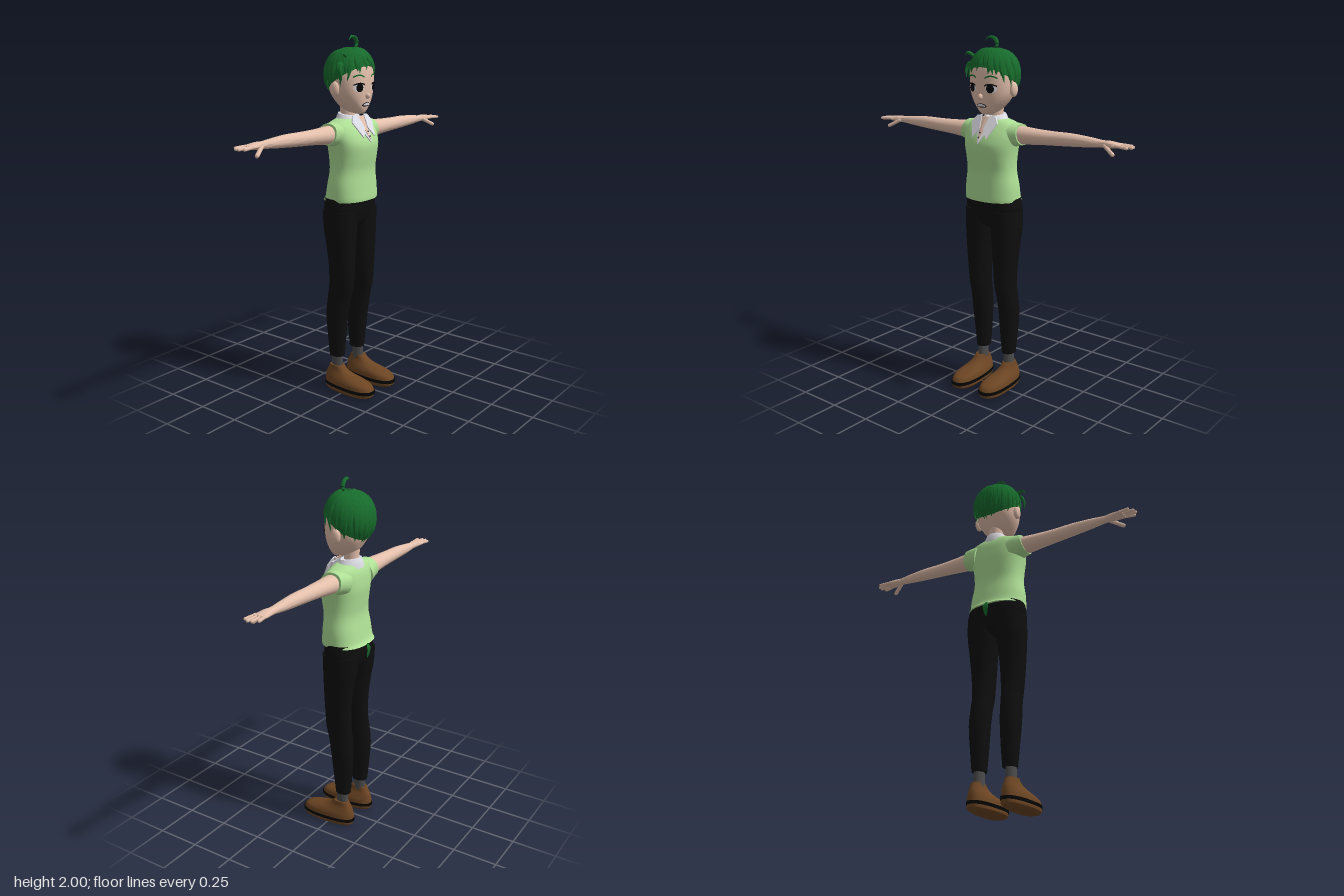
import * as THREE from 'three';
import { toCreasedNormals } from 'three/addons/utils/BufferGeometryUtils.js';

const V = (x, y, z) => new THREE.Vector3(x, y, z);
const material = (name, color, side = THREE.FrontSide) => {
  const m = new THREE.MeshStandardMaterial({ color, side });
  m.name = name;
  return m;
};

// Smooth in-between rows of a cross-section list
function refine(rows, steps = 4) {
  const out = [];
  const at = i => rows[Math.min(rows.length - 1, Math.max(0, i))];
  for (let i = 0; i < rows.length - 1; i++)
    for (let s = 0; s < steps; s++) {
      const t = s / steps, [a, b, c, d] = [at(i - 1), at(i), at(i + 1), at(i + 2)];
      out.push(b.map((v, k) => {
        const cubic = 3 * (v - c[k]) + d[k] - a[k];
        const square = 2 * a[k] - 5 * v + 4 * c[k] - d[k];
        return v + 0.5 * t * (c[k] - a[k] + t * (square + t * cubic));
      }));
    }
  out.push(rows[rows.length - 1]);
  return out;
}

// Closed skin over a list of point rings
function skinRings(rings, crease = 0.9) {
  const n = rings[0].length, pos = [], index = [];
  rings.forEach(r => r.forEach(p => pos.push(p.x, p.y, p.z)));
  for (let i = 0; i < rings.length - 1; i++)
    for (let j = 0; j < n; j++) {
      const a = i * n + j, b = i * n + (j + 1) % n;
      index.push(a, a + n, b + n, a, b + n, b);
    }
  const g = new THREE.BufferGeometry();
  g.setAttribute('position', new THREE.Float32BufferAttribute(pos, 3));
  g.setIndex(index);
  return toCreasedNormals(g, crease);
}

// Rows are [y, centre x, half width, front z, back z]; n sets how square the section is
function loft(rows, n = 2, segs = 28) {
  const pow = v => Math.sign(v) * Math.abs(v) ** (2 / n);
  const rings = refine(rows).map(([y, cx, w, f, b]) => Array.from({ length: segs }, (_, j) => {
    const a = j / segs * Math.PI * 2;
    return V(cx + w * pow(Math.cos(a)), y, (f + b) / 2 + (f - b) / 2 * pow(Math.sin(a)));
  }));
  const cap = r => {
    const c = r.reduce((s, p) => s.add(p), V(0, 0, 0)).divideScalar(segs);
    return r.map(() => c.clone());
  };
  return skinRings([cap(rings[0]), ...rings, cap(rings[rings.length - 1])]);
}

// Tapered lock of hair, lying flat around a centre
function lock(points, width, thick, centre) {
  const curve = new THREE.CatmullRomCurve3(points), rings = [];
  for (let i = 0; i <= 10; i++) {
    const t = i / 10, p = curve.getPoint(t), T = curve.getTangent(t);
    const S = T.clone().cross(p.clone().sub(centre)).normalize(), O = S.clone().cross(T);
    const f = Math.min(1, 0.35 + 2 * t) * (1 - t ** 3);
    rings.push(Array.from({ length: 6 }, (_, j) => {
      const a = j / 6 * Math.PI * 2;
      return p.clone().addScaledVector(S, width * f * Math.cos(a)).addScaledVector(O, thick * f * Math.sin(a));
    }));
  }
  return skinRings(rings, 0.6);
}

export function createModel() {
  const model = new THREE.Group();
  const skin = material('skin', 0xe3bfab), hair = material('hair green', 0x176b2c);
  const knit = material('knit green', 0xafe096), cloth = material('trouser black', 0x0e0e0e);
  const leather = material('shoe brown', 0x6c4523), sock = material('sock grey', 0x4c4c4c);
  const white = material('collar white', 0xe2e2ea), black = material('ink black', 0x050505, THREE.DoubleSide);
  const add = (name, geometry, mat) => {
    const m = new THREE.Mesh(geometry, mat);
    m.name = name;
    model.add(m);
    return m;
  };
  const ball = (name, mat, x, y, z, sx, sy, sz) =>
    add(name, new THREE.SphereGeometry(1, 16, 12).scale(sx, sy, sz).translate(x, y, z), mat);

  // Trousers
  add('pelvis', loft([[0.95, 0, 0.02, -0.01, -0.08], [0.985, 0, 0.1, 0.03, -0.13], [1.05, 0, 0.168, 0.05, -0.155], [1.13, 0, 0.163, 0.058, -0.155]], 2.4), cloth);

  for (const s of [1, -1]) {
    const side = s > 0 ? 'left' : 'right';
    add(side + 'TrouserLeg', loft([
      [0.2, 0.092, 0.037, -0.03, -0.118], [0.32, 0.093, 0.046, -0.018, -0.128], [0.45, 0.095, 0.053, -0.004, -0.135],
      [0.55, 0.092, 0.051, 0.015, -0.128], [0.62, 0.09, 0.052, 0.033, -0.119], [0.75, 0.091, 0.064, 0.038, -0.115],
      [0.88, 0.091, 0.075, 0.042, -0.13], [0.96, 0.088, 0.083, 0.045, -0.145], [1.06, 0.085, 0.084, 0.05, -0.153],
    ].map(([y, x, ...r]) => [y, s * x, ...r]), 2.2), cloth);
    add(side + 'Sock', loft([[0.1, s * 0.095, 0.027, -0.035, -0.105], [0.22, s * 0.095, 0.027, -0.035, -0.105]]), sock);

    // Shoe: sole, dark welt and upper, narrowing at the heel
    const shoe = (name, rows, mat) => {
      const g = loft(rows.map(([y, ...r]) => [y, 0, ...r]), 2.5), p = g.attributes.position;
      for (let i = 0; i < p.count; i++) p.setX(i, s * 0.1 + p.getX(i) * (0.88 + 0.7 * Math.min(0.18, p.getZ(i) + 0.05)));
      add(side + name, g, mat);
    };
    shoe('ShoeSole', [[0, 0.058, 0.168, -0.135], [0.012, 0.068, 0.183, -0.145], [0.026, 0.068, 0.185, -0.146]], leather);
    shoe('ShoeWelt', [[0.025, 0.07, 0.189, -0.15], [0.043, 0.07, 0.188, -0.149]], black);
    shoe('ShoeUpper', [[0.04, 0.068, 0.184, -0.146], [0.065, 0.065, 0.168, -0.144], [0.083, 0.057, 0.12, -0.141], [0.1, 0.047, 0.05, -0.136], [0.12, 0.038, 0.005, -0.126], [0.145, 0.034, -0.024, -0.112]], leather);

    // Arm and vest armhole, lofted outward along x
    const along = (rows, n) => loft(rows.map(([t, y, ...r]) => [t, s * -y, ...r]), n).rotateZ(-s * Math.PI / 2);
    add(side + 'Arm', along([
      [0.12, 1.485, 0.048, -0.002, -0.112], [0.2, 1.483, 0.048, -0.002, -0.108], [0.3, 1.485, 0.041, -0.008, -0.098],
      [0.4, 1.487, 0.037, -0.015, -0.092], [0.5, 1.49, 0.034, -0.02, -0.09], [0.6, 1.49, 0.027, -0.028, -0.086],
      [0.68, 1.49, 0.019, -0.034, -0.08], [0.72, 1.491, 0.019, -0.026, -0.086], [0.765, 1.49, 0.014, -0.02, -0.092], [0.79, 1.49, 0.009, -0.022, -0.09],
    ]), skin);
    const sleeve = along([[0.1, 1.475, 0.07, 0.03, -0.135], [0.15, 1.485, 0.062, 0.018, -0.128], [0.188, 1.487, 0.056, 0.008, -0.12]], 2.2);
    const sp = sleeve.attributes.position;
    for (let i = 0; i < sp.count; i++) sp.setX(i, sp.getX(i) + s * (1.487 - sp.getY(i)) * 0.22);
    add(side + 'Armhole', sleeve, knit);

    // Fingers and thumb
    const finger = (name, a, b, r) => {
      const d = b.clone().sub(a);
      const m = add(side + name, new THREE.CapsuleGeometry(r, d.length(), 4, 8), skin);
      m.position.copy(a).add(b).multiplyScalar(0.5);
      m.quaternion.setFromUnitVectors(V(0, 1, 0), d.normalize());
    };
    [[-0.027, -0.018, 0.835], [-0.045, -0.043, 0.85], [-0.064, -0.066, 0.846], [-0.082, -0.09, 0.825]].forEach(([z0, z1, x], i) =>
      finger('Finger' + (i + 1), V(s * 0.77, 1.492, z0), V(s * x, 1.489, z1), 0.0085));
    finger('Thumb', V(s * 0.705, 1.485, -0.035), V(s * 0.765, 1.452, -0.008), 0.011);
    ball(side + 'Ear', skin, s * 0.131, 1.722, -0.05, 0.018, 0.04, 0.028);

    // Open neckline and collar flaps, laid as thin sloping plates
    const plate = (name, pts, lift, mat) => {
      const shape = new THREE.Shape(pts.map(([x, y]) => new THREE.Vector2(s * x, y)));
      const g = new THREE.ExtrudeGeometry(shape, { depth: 0.008, bevelEnabled: false }), p = g.attributes.position;
      for (let i = 0; i < p.count; i++) p.setZ(i, p.getZ(i) + lift + 0.015 + (1.575 - p.getY(i)) * 0.55 - 0.15 * Math.abs(p.getX(i)));
      g.computeVertexNormals();
      add(side + name, g, mat);
    };
    plate('ShirtFront', [[0, 1.565], [0.06, 1.56], [0, 1.437]], 0, white);
    plate('OpenNeck', [[0, 1.575], [0.034, 1.575], [0, 1.452]], 0.004, skin);
    plate('CollarFlap', [[0.028, 1.585], [0.062, 1.58], [0.086, 1.545], [0.047, 1.465], [0.012, 1.515]], 0.009, white);
  }

  // Vest, neck and collar
  add('vest', loft([
    [1.115, 0, 0.162, 0.075, -0.17], [1.135, 0, 0.162, 0.075, -0.156], [1.2, 0, 0.159, 0.07, -0.143], [1.28, 0, 0.147, 0.066, -0.13],
    [1.35, 0, 0.148, 0.077, -0.135], [1.42, 0, 0.157, 0.084, -0.142], [1.47, 0, 0.165, 0.068, -0.14],
    [1.51, 0, 0.163, 0.044, -0.134], [1.54, 0, 0.15, 0.018, -0.122], [1.56, 0, 0.085, 0, -0.11],
  ], 2.4, 40), knit);
  add('neck', loft([[1.5, 0, 0.05, -0.015, -0.11], [1.57, 0, 0.042, -0.025, -0.105], [1.65, 0, 0.045, -0.02, -0.11]]), skin);
  const collar = loft([[1.525, 0, 0.088, 0.025, -0.128], [1.555, 0, 0.075, 0.01, -0.123], [1.58, 0, 0.06, -0.005, -0.115]]);
  const cp = collar.attributes.position;
  for (let i = 0; i < cp.count; i++) cp.setY(i, cp.getY(i) - 0.15 * (cp.getZ(i) + 0.05));
  add('collar', collar, white);
  for (const y of [1.495, 1.47]) ball('shirtButton', sock, 0, y, 0.03 + (1.575 - y) * 0.55, 0.005, 0.005, 0.004);

  // Head
  const headRows = [
    [1.587, 0, 0.022, 0.036, -0.005], [1.6, 0, 0.045, 0.048, -0.06], [1.625, 0, 0.07, 0.058, -0.1], [1.66, 0, 0.098, 0.064, -0.125],
    [1.7, 0, 0.118, 0.068, -0.145], [1.75, 0, 0.127, 0.07, -0.155], [1.8, 0, 0.128, 0.068, -0.16],
    [1.85, 0, 0.117, 0.058, -0.152], [1.9, 0, 0.082, 0.025, -0.12], [1.925, 0, 0.03, -0.02, -0.08],
  ];
  add('head', loft(headRows, 2.3, 40), skin);
  ball('nose', skin, 0, 1.685, 0.066, 0.013, 0.017, 0.019);

  // Face details hug the front of the head
  const fine = refine(headRows);
  const faceZ = (x, y) => {
    const i = Math.max(1, fine.findIndex(r => r[0] >= y)), a = fine[i - 1], b = fine[i];
    const [, , w, f, k] = a.map((v, c) => v + (b[c] - v) * (y - a[0]) / (b[0] - a[0]));
    return (f + k) / 2 + (f - k) / 2 * Math.max(0, 1 - Math.abs(x / w) ** 2.3) ** (1 / 2.3);
  };
  const decal = (name, base, x, y, sx, sy, bend, lift, mat) => {
    const p = base.attributes.position;
    for (let i = 0; i < p.count; i++) {
      const u = p.getX(i), px = x + u * sx, py = y + p.getY(i) * sy + bend * (1 - u * u);
      p.setXYZ(i, px, py, faceZ(px, py) + lift);
    }
    base.computeVertexNormals();
    add(name, base, mat);
  };
  const disc = () => new THREE.RingGeometry(0, 1, 24, 4), strip = () => new THREE.PlaneGeometry(2, 2, 10, 1);
  for (const s of [1, -1]) {
    decal('eyeWhite', disc(), s * 0.061, 1.73, 0.03, 0.022, 0, 0.002, white);
    decal('iris', disc(), s * 0.059, 1.73, 0.02, 0.023, 0, 0.004, black);
    decal('upperLash', strip(), s * 0.061, 1.744, 0.032, 0.0035, 0.009, 0.006, black);
    decal('eyebrow', strip(), s * 0.062, 1.785, 0.032, 0.004, 0.01, 0.003, hair);
  }
  decal('mouthOutline', disc(), 0, 1.635, 0.032, 0.011, 0.004, 0.002, black);
  decal('teeth', disc(), 0, 1.636, 0.027, 0.007, 0.004, 0.004, white);

  // Hair: a cap with layered locks sweeping down from the crown
  const centre = V(0, 1.785, -0.05);
  const onHair = (az, e, k = 1) => V(0.138 * k * Math.cos(e) * Math.cos(az), 1.785 + 0.153 * k * Math.sin(e), -0.05 + 0.13 * k * Math.cos(e) * Math.sin(az));
  const hairEnd = az => -0.13 + 0.52 * Math.sin(az);
  const capRings = [];
  for (let i = 0; i <= 12; i++)
    capRings.push(Array.from({ length: 36 }, (_, j) => {
      const az = j / 36 * Math.PI * 2, e0 = hairEnd(az);
      return onHair(az, e0 + (Math.PI / 2 - e0) * i / 12, 0.985);
    }));
  capRings.unshift(capRings[0].map(p => p.clone().lerp(centre, 0.14)));
  add('hairCap', skinRings(capRings), hair);
  let seed = 7;
  const rnd = () => (seed = (seed * 16807) % 2147483647) / 2147483647;
  for (let layer = 0; layer < 2; layer++)
    for (let i = 0; i < 24; i++) {
      const az = (i + layer * 0.5) / 24 * Math.PI * 2 + (rnd() - 0.5) * 0.12;
      const end = hairEnd(az) + (layer ? 0.2 : -0.1) + (rnd() - 0.5) * 0.2, twist = 0.25 * (rnd() - 0.2);
      const pts = [0, 0.3, 0.55, 0.8, 1].map(t => onHair(az + twist * t * t, 1.4 + (end - 1.4) * t, 0.985 + 0.045 * Math.sin(t * 2.6)));
      add('hairLock', lock(pts, 0.021 + 0.006 * rnd(), 0.01, centre), hair);
    }

  // Longer fringe and temple locks: [start azimuth, end azimuth, end elevation]
  for (const [a, b, e] of [[1.9, 2.05, 0.12], [2.2, 2.55, -0.12], [1.5, 1.72, 0.22], [1.2, 1.0, 0.1], [0.8, 0.55, -0.16], [2.7, 2.85, -0.3], [0.5, 0.2, -0.3]])
    add('fringeLock', lock([0, 0.35, 0.7, 1].map(t => onHair(a + (b - a) * t, 1.2 + (e - 1.2) * t, 1.01 + 0.02 * t)), 0.016, 0.008, centre), hair);

  // Stray curls and the leaf tail
  add('topCurl', lock([V(0.015, 1.925, -0.03), V(0.034, 1.955, -0.03), V(0.02, 1.983, -0.03), V(-0.015, 1.993, -0.027), V(-0.045, 1.972, -0.022)], 0.013, 0.012, centre), hair);
  add('sideCurl', lock([V(-0.08, 1.88, 0.0), V(-0.115, 1.9, 0.005), V(-0.138, 1.908, 0.01), V(-0.153, 1.888, 0.012)], 0.013, 0.01, centre), hair);
  add('sideTuft', lock([V(-0.1, 1.86, -0.02), V(-0.138, 1.85, -0.01), V(-0.152, 1.82, 0), V(-0.145, 1.77, 0.01)], 0.02, 0.011, centre), hair);
  add('leafTail', lock([V(0, 1.12, -0.168), V(0, 1.095, -0.178), V(0, 1.06, -0.175), V(0, 1.03, -0.168)], 0.018, 0.005, V(0, 1.07, 0)), hair);
  return model;
}
